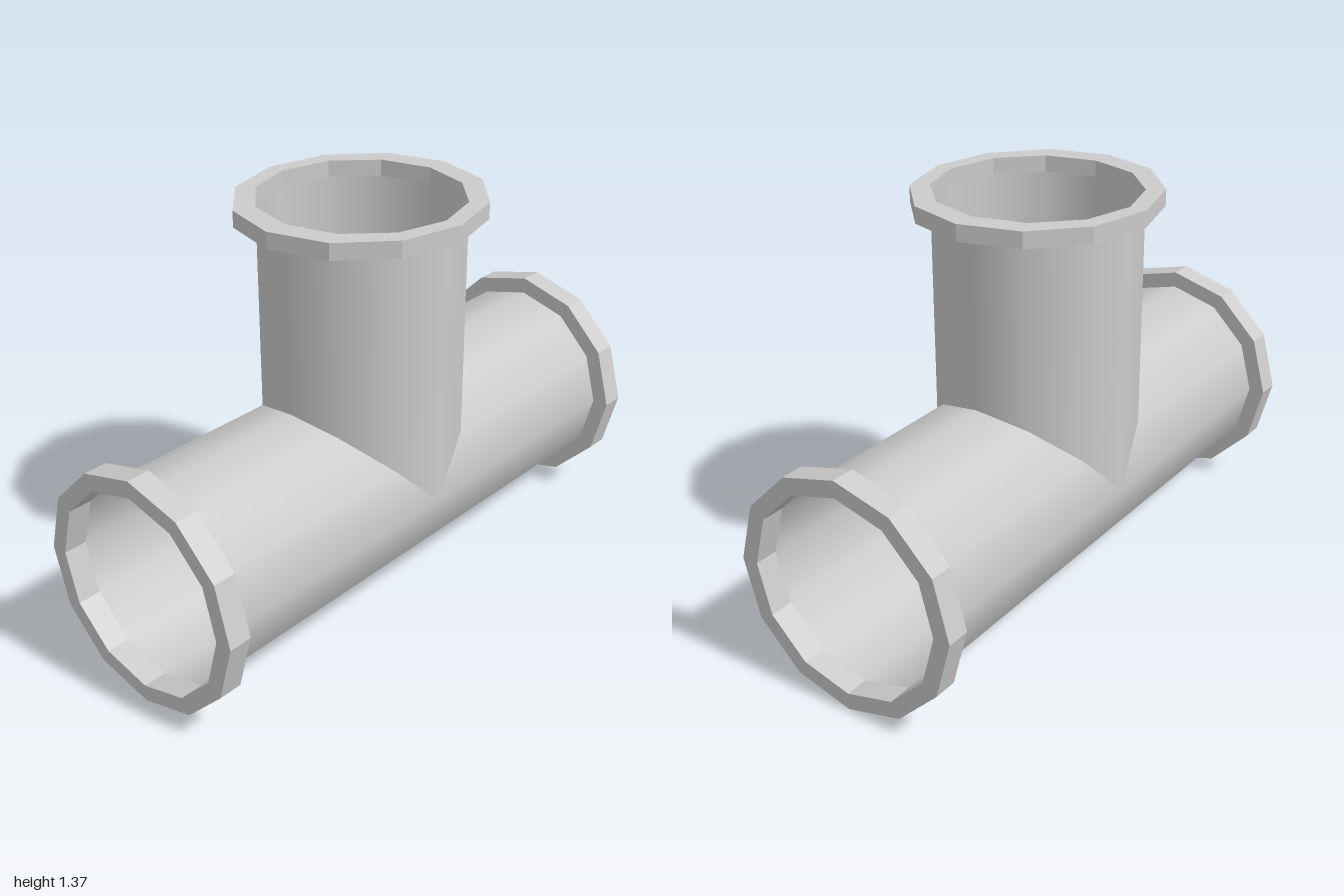
import * as THREE from 'three';

const SIDES = 12, R = 0.338, AXIS_Y = 0.395;

// Open pipe along +y; startAt(x, z) gives the mitred height of each lower vertex.
function mitredPipe(end, startAt) {
  const g = new THREE.CylinderGeometry(R, R, 1, SIDES, 1, true);
  const p = g.attributes.position;
  for (let i = 0; i < p.count; i++) {
    p.setY(i, p.getY(i) > 0 ? end : startAt(p.getX(i), p.getZ(i)));
  }
  return g;
}

function polygon(rx, ry) {
  return Array.from({ length: SIDES }, (_, i) => {
    const a = (i / SIDES) * Math.PI * 2;
    return new THREE.Vector2(Math.cos(a) * rx, Math.sin(a) * ry);
  });
}

// Twelve-sided collar around a pipe end, lying along +y from "from" to "to".
function collar(rx, rz, from, to) {
  const shape = new THREE.Shape(polygon(rx, rz));
  shape.holes.push(new THREE.Path(polygon(R, R)));
  const g = new THREE.ExtrudeGeometry(shape, { depth: to - from, bevelEnabled: false });
  return g.rotateX(-Math.PI / 2).translate(0, from, 0);
}

export function createModel() {
  const model = new THREE.Group();
  model.name = 'teePipe';
  const pipeMat = new THREE.MeshStandardMaterial({ color: 0xcccccc, side: THREE.DoubleSide });
  const collarMat = new THREE.MeshStandardMaterial({ color: 0xcccccc, flatShading: true });

  const add = (parent, geometry, material, name) => {
    const mesh = new THREE.Mesh(geometry, material);
    mesh.name = name;
    parent.add(mesh);
  };

  // Front and back halves of the main pipe, cut at 45 degrees under the branch
  const armPipe = mitredPipe(1 - 0.08, (x, z) => Math.max(0, -z)).rotateX(Math.PI / 2);
  const armCollar = collar(0.395, 0.395, 0.92, 1).rotateX(Math.PI / 2);
  for (const [name, turn] of [['front', 0], ['back', Math.PI]]) {
    const arm = new THREE.Group();
    arm.name = name + 'Arm';
    arm.position.y = AXIS_Y;
    arm.rotation.y = turn;
    add(arm, armPipe, pipeMat, name + 'Pipe');
    add(arm, armCollar, collarMat, name + 'Collar');
    model.add(arm);
  }

  // Upright branch, its foot cut to a V that meets both arms
  const branch = new THREE.Group();
  branch.name = 'branch';
  branch.position.y = AXIS_Y;
  add(branch, mitredPipe(1.317 - AXIS_Y, (x, z) => Math.abs(z)), pipeMat, 'branchPipe');
  add(branch, collar(0.395, 0.418, 1.317 - AXIS_Y, 1.372 - AXIS_Y), collarMat, 'branchCollar');
  model.add(branch);

  return model;
}
